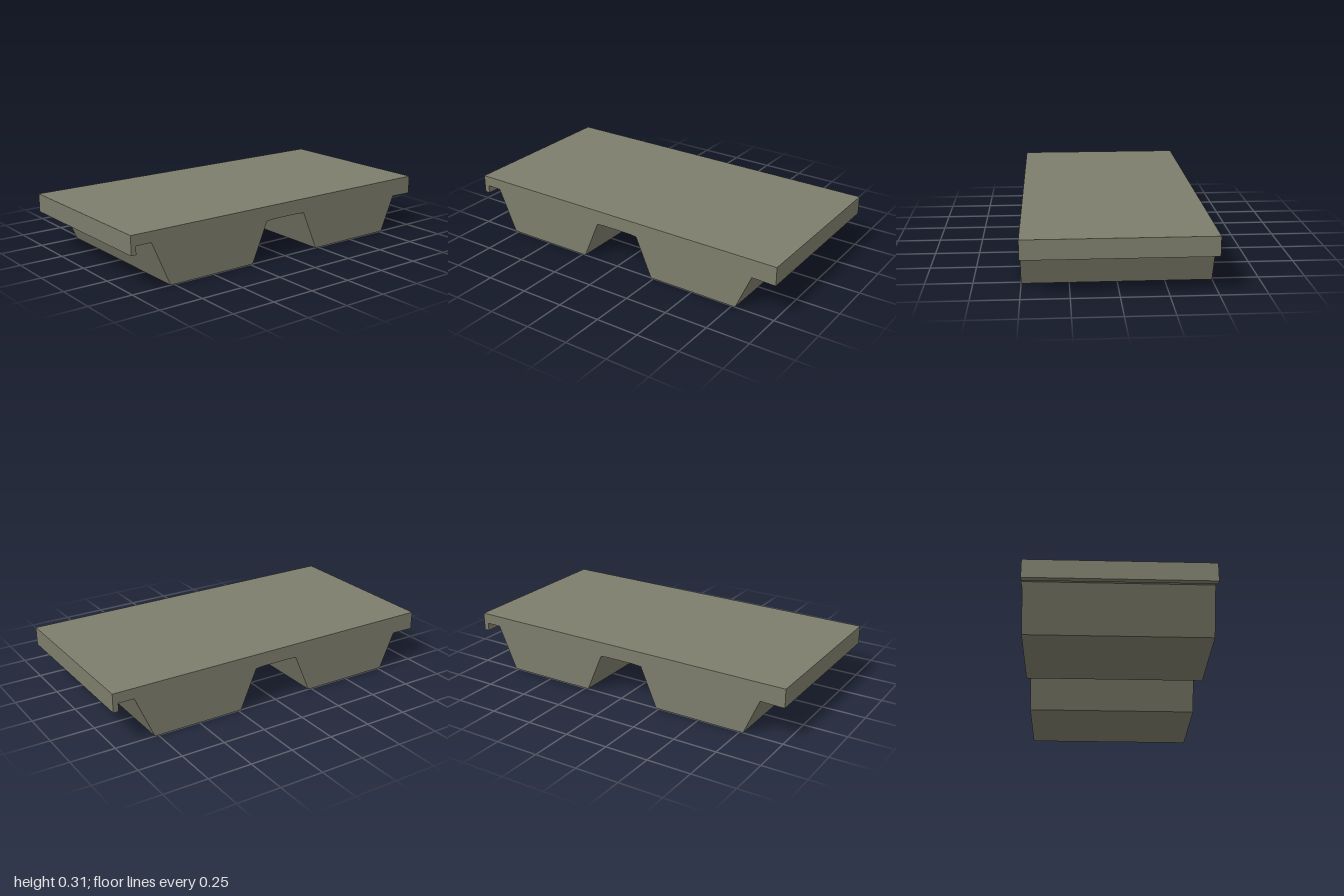
import * as THREE from 'three';

const DEPTH = 1;

// Right half of the cross-section, from the middle of the underside outwards
const HALF_PROFILE = [
  [0.09, 0.23], [0.134, 0.226],             // shallow recess between the ribs
  [0.232, 0], [0.77, 0],                    // tapered rib
  [0.88, 0.25], [0.97, 0.25],               // groove beside the rib
  [0.97, 0.204], [1, 0.204], [1, 0.31],     // edge lip and top deck
];

const toShape = (points) => new THREE.Shape(points.map(([x, y]) => new THREE.Vector2(x, y)));

export function createModel() {
  const group = new THREE.Group();
  group.name = 'ribbedSlab';
  const concrete = new THREE.MeshStandardMaterial({ color: 0x7d7d6c, side: THREE.DoubleSide });
  concrete.name = 'olive grey concrete';

  // Double-tee slab: mirrored profile swept along z
  const mirrored = HALF_PROFILE.map(([x, y]) => [-x, y]).reverse();
  const slabGeometry = new THREE.ExtrudeGeometry(toShape([...mirrored, ...HALF_PROFILE]), {
    depth: DEPTH, bevelEnabled: false,
  });
  slabGeometry.translate(0, 0, -DEPTH / 2);
  const slab = new THREE.Mesh(slabGeometry, concrete);
  slab.name = 'slab';
  group.add(slab);

  // Each groove is closed at one end, on diagonally opposite corners
  const capGeometry = new THREE.ShapeGeometry(
    toShape([[0.86, 0.207], [0.97, 0.204], [0.97, 0.25], [0.88, 0.25]]));
  capGeometry.translate(0, 0, DEPTH / 2);
  for (const [name, turn] of [['frontGrooveCap', 0], ['backGrooveCap', Math.PI]]) {
    const cap = new THREE.Mesh(capGeometry, concrete);
    cap.name = name;
    cap.rotation.y = turn;
    group.add(cap);
  }
  return group;
}
